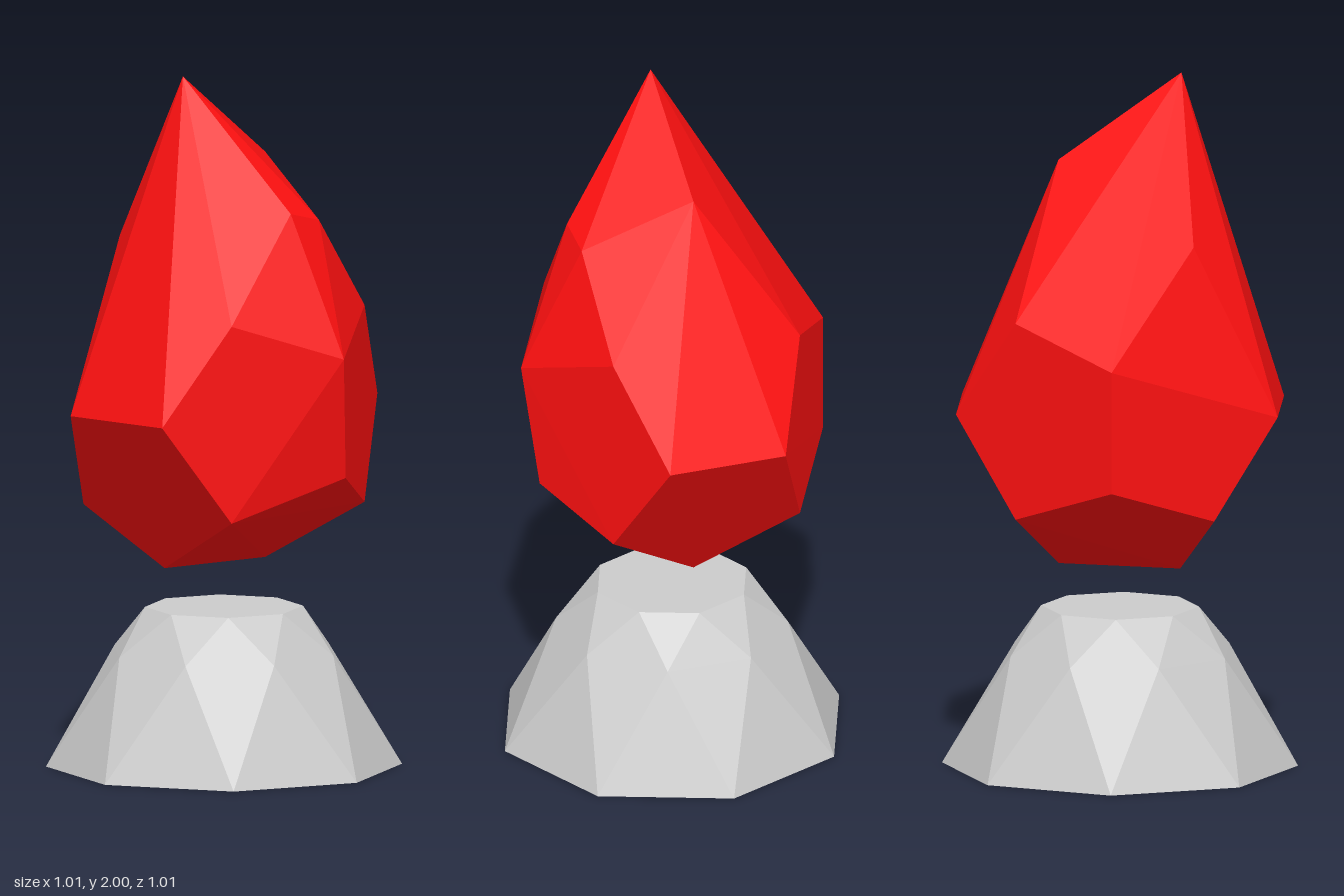
import * as THREE from 'three';
import { ConvexGeometry } from 'three/addons/geometries/ConvexGeometry.js';

const v = (x, y, z) => new THREE.Vector3(x, y, z);

// Faceted solid spanned by its corner points
function facetedSolid(name, points, color) {
  const material = new THREE.MeshStandardMaterial({ color, flatShading: true });
  const mesh = new THREE.Mesh(new ConvexGeometry(points), material);
  mesh.name = name;
  return mesh;
}

// Ring of eight corners, optionally turned by half a step
function ring(radius, y, turn = 0) {
  return Array.from({ length: 8 }, (_, i) => {
    const a = (i + turn) * Math.PI / 4;
    return v(radius * Math.cos(a), y, radius * Math.sin(a));
  });
}

export function createModel() {
  const model = new THREE.Group();
  model.name = 'floatingCrystal';

  // Pedestal: octagonal base and top with bulging side facets
  model.add(facetedSolid('pedestal', [
    ...ring(0.507, 0), ...ring(0.33, 0.33, 0.5), ...ring(0.225, 0.457),
  ], 0xcccccc));

  // Crystal: a dodecahedron with its crown drawn up into a crooked point
  const mid = 1.037, short = 0.175, cube = 0.283, long = 0.458;
  const corners = [
    v(-short, 2, 0), v(short, 1.745, 0),                          // crown
    v(-short, mid - long, -0.07), v(short, mid - long, 0),        // lower tip
    v(0, mid + short, long), v(0.05, mid - short, 0.42),          // front
    v(0, mid + short, -long), v(0, mid - short, -long),           // back
    v(-0.22, 1.53, -0.2),                                         // chipped shoulder
    v(-0.05, 1.62, 0.3), v(0.07, 1.59, 0.3),                      // swollen front facet
  ];
  for (const sx of [-1, 1]) {
    for (const sz of [-1, 1]) {
      corners.push(v(sx * long, mid, sz * short));                // waist
      corners.push(v(sx * cube, mid - cube, sz * cube));          // lower shoulders
      if (sx > 0 || sz > 0) corners.push(v(sx * cube, mid + cube, sz * cube)); // upper shoulders
    }
  }
  model.add(facetedSolid('crystal', corners, 0xff1010));

  return model;
}
